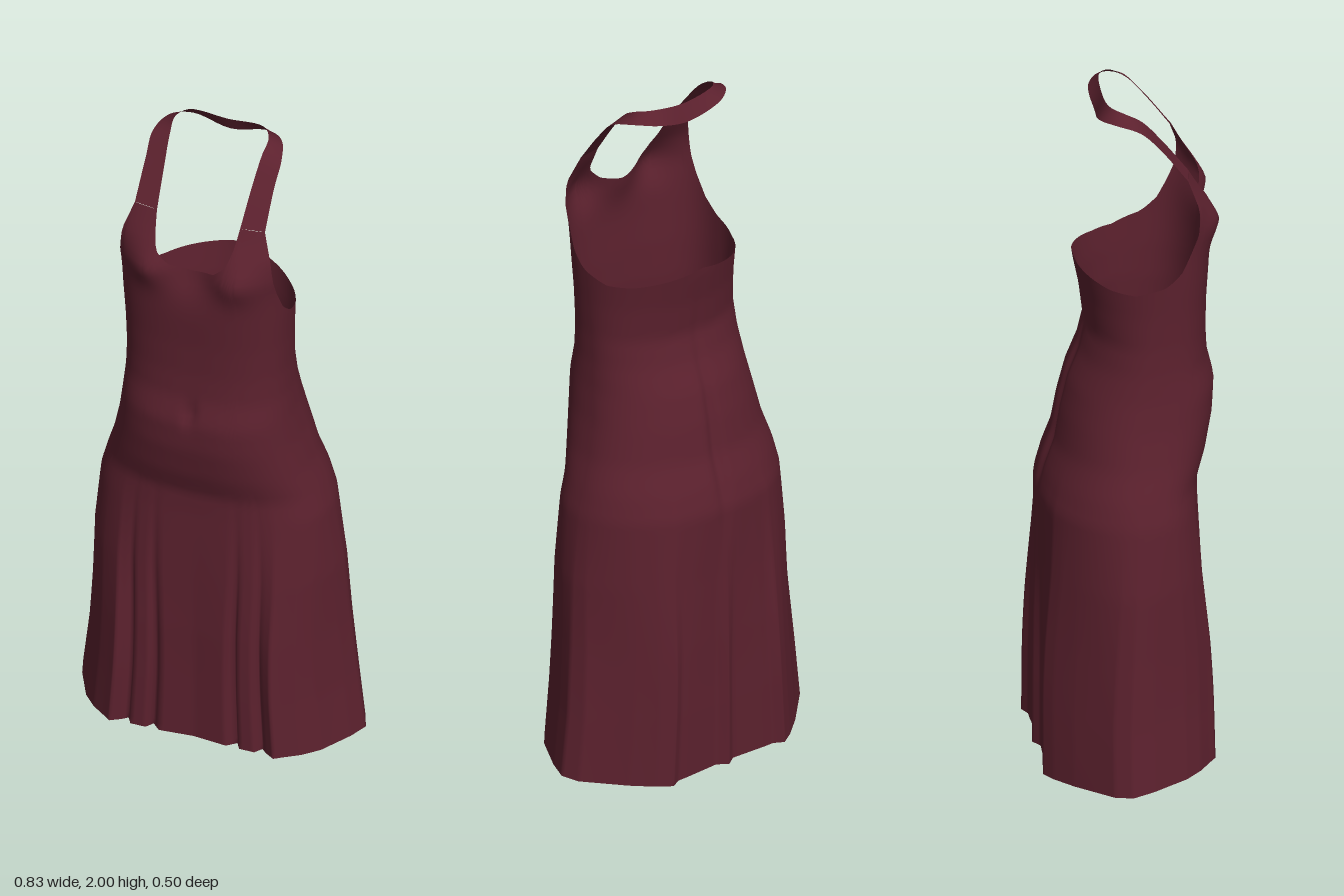
import * as THREE from 'three';

const fabric = new THREE.MeshStandardMaterial({ color: 0x5c212e, side: THREE.DoubleSide });
fabric.name = 'burgundy fabric';

// Dress outline: height, half width, front z, back z, z of the widest point
const PROFILE = [
  [0.00, 0.420, 0.225, -0.250, -0.03],
  [0.20, 0.397, 0.222, -0.250, -0.03],
  [0.40, 0.378, 0.218, -0.248, -0.02],
  [0.60, 0.363, 0.208, -0.243, -0.01],
  [0.80, 0.335, 0.197, -0.243, 0.00],
  [0.87, 0.315, 0.196, -0.225, 0.00],
  [0.95, 0.288, 0.222, -0.197, 0.01],
  [1.05, 0.264, 0.242, -0.180, 0.02],
  [1.14, 0.248, 0.247, -0.158, 0.04],
  [1.22, 0.239, 0.228, -0.125, 0.05],
  [1.30, 0.235, 0.224, -0.106, 0.06],
  [1.40, 0.236, 0.226, -0.118, 0.07],
  [1.50, 0.240, 0.232, -0.138, 0.08],
  [1.60, 0.240, 0.236, -0.140, 0.10],
  [1.65, 0.242, 0.236, -0.140, 0.12],
  [1.72, 0.243, 0.215, -0.140, 0.14],
  [1.80, 0.222, 0.170, -0.140, 0.13],
];

// Pleated hem, one half: angle from the front, x, z
const HEM = [
  [0, 0, 0.205], [12, 0.10, 0.215], [15, 0.125, 0.19], [18, 0.14, 0.215],
  [24, 0.185, 0.215], [27, 0.20, 0.19], [30, 0.215, 0.205], [36, 0.245, 0.225],
  [42, 0.27, 0.205], [51, 0.31, 0.175], [63, 0.35, 0.13], [81, 0.40, 0.03],
  [90, 0.42, -0.03], [99, 0.40, -0.08], [129, 0.30, -0.18], [141, 0.24, -0.23],
  [150, 0.20, -0.255], [156, 0.17, -0.24], [162, 0.14, -0.24], [174, 0.03, -0.235],
  [180, 0, -0.255],
];

// Upper edge by angle: neckline, strap root, armhole, back
const TOP = [
  [0, 1.65], [10, 1.665], [18, 1.70], [23, 1.75], [27, 1.80], [55.5, 1.80],
  [62, 1.70], [70, 1.60], [78, 1.54], [90, 1.495], [110, 1.472], [130, 1.475],
  [160, 1.495], [180, 1.51],
];

// Linear lookup in a table sorted by its first column
function lookup(table, t) {
  let i = 1;
  while (i < table.length - 1 && table[i][0] < t) i++;
  const a = table[i - 1], b = table[i];
  const k = THREE.MathUtils.clamp((t - a[0]) / (b[0] - a[0]), 0, 1);
  return a.slice(1).map((v, n) => v + (b[n + 1] - v) * k);
}

const bump = (d, width) => Math.exp(-((d / width) ** 2));

// Point on the dress; degrees run 0 (front) to 180 (back), side is +1 or -1
function dressPoint(deg, y, side) {
  const [w, zf, zb, zc] = lookup(PROFILE, y);
  const a = THREE.MathUtils.degToRad(deg);
  const front = deg < 90;
  const depth = front ? zf - zc : zc - zb;
  const power = front ? 0.75 : 1;
  const s = Math.max(0, Math.sin(a)), c = Math.cos(a);
  // Rounded bodice section blending into the pleated skirt section
  const bodyX = w * s ** power;
  const bodyZ = zc + Math.sign(c) * depth * Math.abs(c) ** power;
  const [hx, hz] = lookup(HEM, deg);
  const skirtX = (hx / 0.42) * w;
  const skirtZ = zc + (hz + 0.03) * depth / (front ? 0.255 : 0.225);
  const k = 1 - THREE.MathUtils.smoothstep(y, 0.2, 0.95);
  const x = bodyX + (skirtX - bodyX) * k;
  let z = bodyZ + (skirtZ - bodyZ) * k;
  if (front) {
    z += 0.025 * bump(x - 0.13, 0.06) * bump(y - 1.65, 0.06);        // bust
    z -= 0.03 * bump(x, 0.07) * bump(y - 1.66, 0.08);                // neckline dip
    z -= 0.014 * bump(x, 0.018) * bump(y - 1.17, 0.035);             // navel dent
  } else {
    z += 0.014 * bump(deg - 180, 4) * bump(y - 0.95, 0.3);           // back crease
  }
  return new THREE.Vector3(side * x, y, z);
}

// Grid surface from point(column, row)
function gridGeometry(cols, rows, closed, point) {
  const pos = [], index = [];
  const n = closed ? cols : cols + 1;
  for (let j = 0; j <= rows; j++)
    for (let i = 0; i < n; i++) pos.push(...point(i, j).toArray());
  for (let j = 0; j < rows; j++)
    for (let i = 0; i < cols; i++) {
      const i2 = closed ? (i + 1) % n : i + 1;
      const a = j * n + i, b = j * n + i2, c = a + n, d = b + n;
      index.push(a, b, d, a, d, c);
    }
  const g = new THREE.BufferGeometry();
  g.setAttribute('position', new THREE.Float32BufferAttribute(pos, 3));
  g.setIndex(index);
  g.computeVertexNormals();
  return g;
}

// Mirrored half path turned into one curve passing behind the neck
function neckCurve(start, half) {
  const pts = [start, ...half.map(p => new THREE.Vector3(...p))];
  const other = pts.slice(0, -1).reverse().map(p => new THREE.Vector3(-p.x, p.y, p.z));
  return new THREE.CatmullRomCurve3([...pts, ...other], false, 'centripetal');
}

export function createModel() {
  const group = new THREE.Group();
  group.name = 'halterDress';

  // Skirt and bodice in one shell
  const cols = 240, rows = 76;
  const body = gridGeometry(cols, rows, true, (i, j) => {
    const full = i * 360 / cols;
    const deg = full <= 180 ? full : 360 - full;
    const hem = 0.024 + 0.075 * lookup(HEM, deg)[1];
    const y = hem + (lookup(TOP, deg)[0] - hem) * j / rows;
    return dressPoint(deg, y, full <= 180 ? 1 : -1);
  });
  const dress = new THREE.Mesh(body, fabric);
  dress.name = 'skirtAndBodice';
  group.add(dress);

  // Halter strap: a ribbon between its inner and outer edges
  const inner = neckCurve(dressPoint(27, 1.8, 1), [
    [0.13, 1.90, 0.092], [0.136, 1.965, 0.035], [0.138, 1.992, -0.01],
    [0.11, 2.0, -0.045], [0, 1.99, -0.055],
  ]);
  const outer = neckCurve(dressPoint(55.5, 1.8, 1), [
    [0.19, 1.90, 0.080], [0.19, 1.955, 0.025], [0.165, 1.972, -0.04],
    [0.11, 1.965, -0.077], [0, 1.942, -0.076],
  ]);
  const steps = 60;
  const ribbon = gridGeometry(4, steps, false, (i, j) =>
    inner.getPoint(j / steps).lerp(outer.getPoint(j / steps), i / 4));
  const strap = new THREE.Mesh(ribbon, fabric);
  strap.name = 'halterStrap';
  group.add(strap);

  return group;
}
